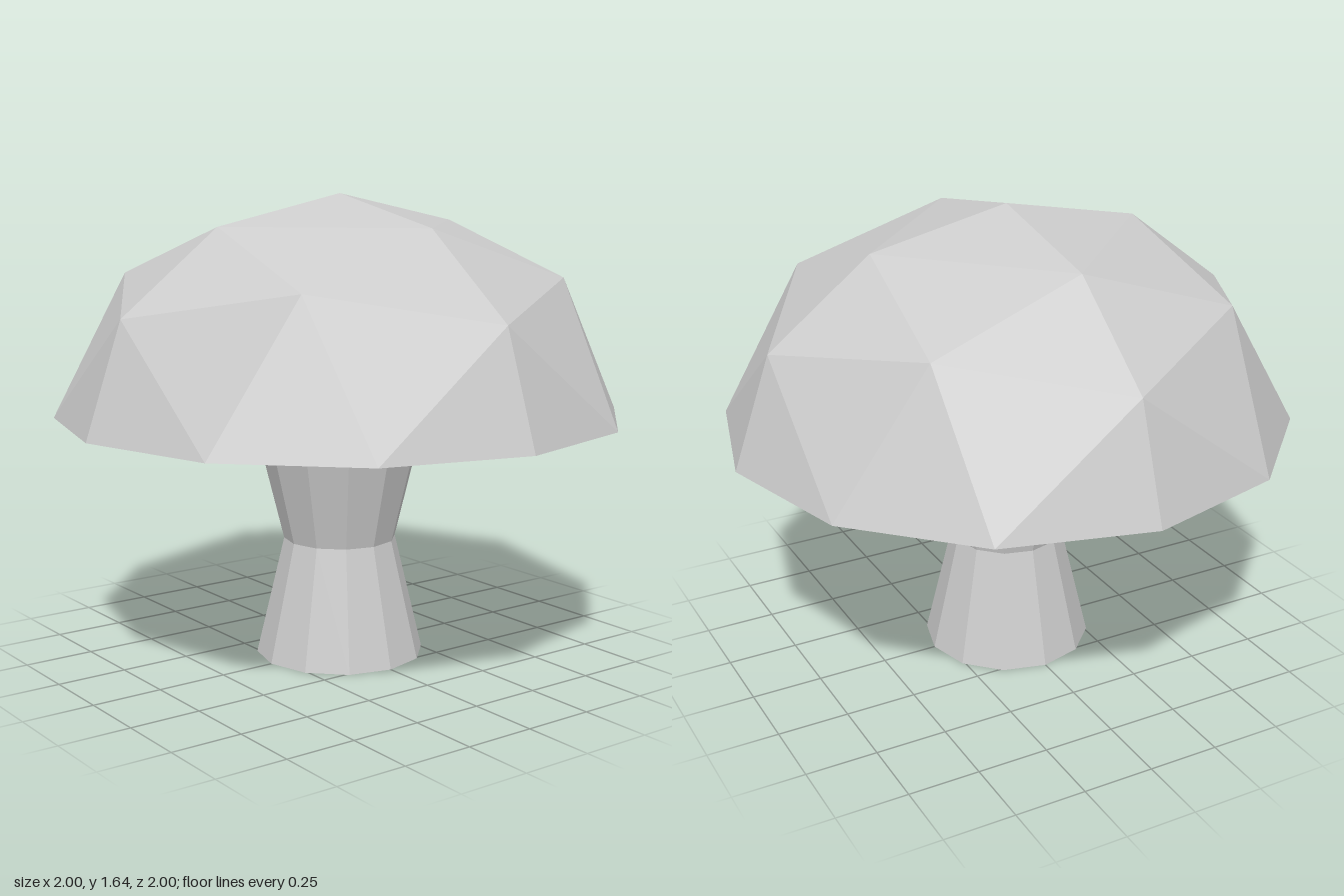
import * as THREE from 'three';

const CAP_BASE = 0.87, CAP_HEIGHT = 0.77, SIDES = 12;

// Dome made of four triangular octants; each ring r has 4 * r points
function domeGeometry(rings) {
  const point = (quarter, r, i) => {
    const polar = (r / rings) * Math.PI / 2;
    const corner = (q) => new THREE.Vector3(
      Math.sin(polar) * Math.round(Math.cos(q * Math.PI / 2)),
      Math.cos(polar),
      Math.sin(polar) * Math.round(Math.sin(q * Math.PI / 2)));
    const a = corner(quarter), b = corner(quarter + 1);
    if (r === 0 || i === 0) return a;
    if (i === r) return b;
    // even angular steps along the arc between the octant's edges
    const arc = a.angleTo(b), t = i / r;
    return a.multiplyScalar(Math.sin((1 - t) * arc) / Math.sin(arc))
      .addScaledVector(b, Math.sin(t * arc) / Math.sin(arc));
  };
  const positions = [];
  const triangle = (...corners) => corners.forEach((p) => positions.push(p.x, p.y * CAP_HEIGHT, p.z));
  for (let q = 0; q < 4; q++) {
    for (let r = 0; r < rings; r++) {
      for (let i = 0; i <= r; i++) {
        triangle(point(q, r, i), point(q, r + 1, i + 1), point(q, r + 1, i));
        if (i < r) triangle(point(q, r, i), point(q, r, i + 1), point(q, r + 1, i + 1));
      }
    }
  }
  const geometry = new THREE.BufferGeometry();
  geometry.setAttribute('position', new THREE.Float32BufferAttribute(positions, 3));
  geometry.computeVertexNormals();
  return geometry;
}

const lathe = (profile) =>
  new THREE.LatheGeometry(profile.map(([r, y]) => new THREE.Vector2(r, y)), SIDES);

export function createModel() {
  const group = new THREE.Group();
  group.name = 'mushroom';
  const material = new THREE.MeshStandardMaterial({
    color: 0xcccccc, flatShading: true, side: THREE.DoubleSide,
  });
  const add = (name, geometry, y = 0) => {
    const mesh = new THREE.Mesh(geometry, material);
    mesh.name = name;
    mesh.position.y = y;
    group.add(mesh);
  };

  // Faceted cap
  add('cap', domeGeometry(3), CAP_BASE);

  // Underside: narrow flat rim, then a shallow slope down to the stem
  add('capUnderside', lathe([[0.3, 0.828], [0.85, CAP_BASE], [1, CAP_BASE]]));

  // Waisted stem, open at the bottom
  add('stem', lathe([[0.3, 0], [0.2, 0.42], [0.3, 0.828]]));

  return group;
}
